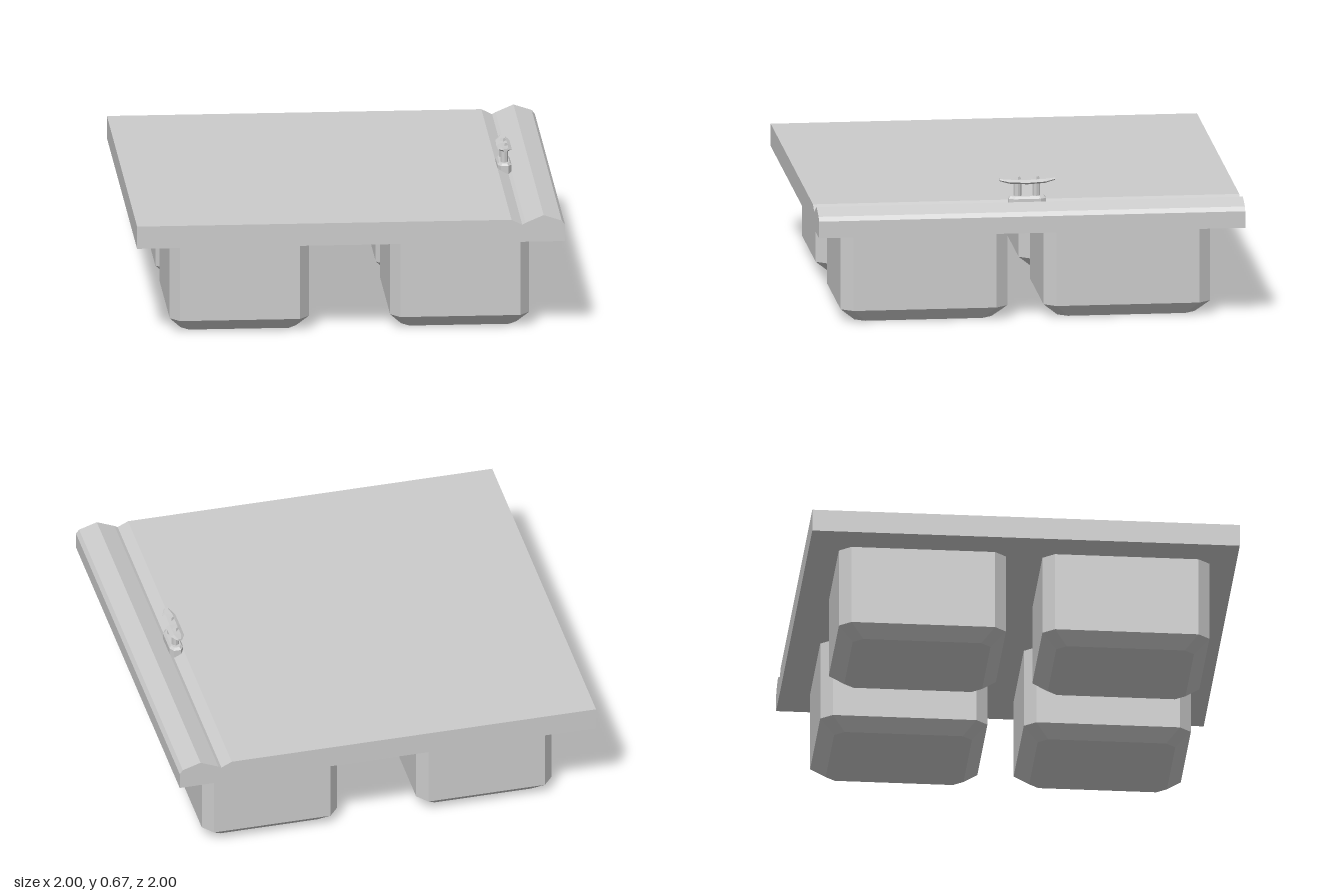
import * as THREE from 'three';

const material = new THREE.MeshStandardMaterial({ color: 0xcccccc, flatShading: true });

function mesh(name, geometry) {
  const m = new THREE.Mesh(geometry, material);
  m.name = name;
  return m;
}

// Skins a list of equal-length rings and closes both ends
function loft(rings) {
  const n = rings[0].length;
  const index = [];
  for (let r = 0; r < rings.length - 1; r++) {
    for (let i = 0; i < n; i++) {
      const a = r * n + i, b = r * n + (i + 1) % n;
      index.push(a, b, b + n, a, b + n, a + n);
    }
  }
  const end = (rings.length - 1) * n;
  for (let i = 1; i < n - 1; i++) {
    index.push(0, i + 1, i, end, end + i, end + i + 1);
  }
  const g = new THREE.BufferGeometry();
  g.setAttribute('position', new THREE.Float32BufferAttribute(rings.flat(2), 3));
  g.setIndex(index);
  const flat = g.toNonIndexed();
  flat.computeVertexNormals();
  return flat;
}

// Horizontal rectangle with cut corners, at height y
function cutRect(y, hx, hz, cx, cz) {
  return [
    [hx, hz - cz], [hx, cz - hz], [hx - cx, -hz], [cx - hx, -hz],
    [-hx, cz - hz], [-hx, hz - cz], [cx - hx, hz], [hx - cx, hz],
  ].map(([x, z]) => [x, y, z]);
}

function createDeck() {
  // Slab with a drain groove and a raised kerb along the left edge
  const profile = [
    [-1, 0.446], [1, 0.446], [1, 0.525], [0.985, 0.545], [0.9, 0.573],
    [0.815, 0.537], [0.8, 0.528], [0.75, 0.553], [-1, 0.553],
  ].map(([x, y]) => new THREE.Vector2(x, y));
  const g = new THREE.ExtrudeGeometry(new THREE.Shape(profile), { depth: 2, bevelEnabled: false });
  g.translate(0, 0, -1);
  return mesh('deck', g);
}

function createFloat() {
  // Tub with cut corners and a bevelled bottom
  return mesh('float', loft([
    cutRect(0, 0.27, 0.322, 0.037, 0.046),
    cutRect(0.06, 0.325, 0.391, 0.045, 0.055),
    cutRect(0.447, 0.325, 0.391, 0.045, 0.055),
  ]));
}

function createCleat() {
  const cleat = new THREE.Group();
  cleat.name = 'mooringCleat';

  cleat.add(mesh('cleatBase', loft([
    cutRect(0.53, 0.033, 0.088, 0.016, 0.025),
    cutRect(0.568, 0.033, 0.088, 0.016, 0.025),
    cutRect(0.579, 0.024, 0.078, 0.012, 0.022),
  ])));

  // Hexagonal bar, tapered and lifted towards its tips: z, half width, height, half thickness
  const stations = [
    [-0.13, 0.012, 0.656, 0.006],
    [-0.085, 0.032, 0.649, 0.011],
    [0, 0.034, 0.645, 0.012],
    [0.085, 0.032, 0.649, 0.011],
    [0.13, 0.012, 0.656, 0.006],
  ];
  cleat.add(mesh('cleatHorn', loft(stations.map(([z, w, y, t]) =>
    Array.from({ length: 6 }, (_, i) => {
      const a = i * Math.PI / 3;
      return [w * Math.cos(a), y + t * Math.sin(a), z];
    })))));

  for (const z of [-0.044, 0.044]) {
    const post = mesh('cleatPost', new THREE.CylinderGeometry(0.018, 0.018, 0.075, 8));
    post.position.set(0, 0.61, z);
    const bolt = mesh('cleatBolt', new THREE.CylinderGeometry(0.011, 0.019, 0.016, 4));
    bolt.position.set(0, 0.661, z);
    cleat.add(post, bolt);
  }
  cleat.position.x = 0.783;
  return cleat;
}

export function createModel() {
  const model = new THREE.Group();
  model.name = 'floatingDock';
  model.add(createDeck());

  // Four floats under the deck
  for (const x of [-0.51, 0.52]) {
    for (const z of [-0.467, 0.485]) {
      const tub = createFloat();
      tub.position.set(x, 0, z);
      model.add(tub);
    }
  }
  model.add(createCleat());
  return model;
}
